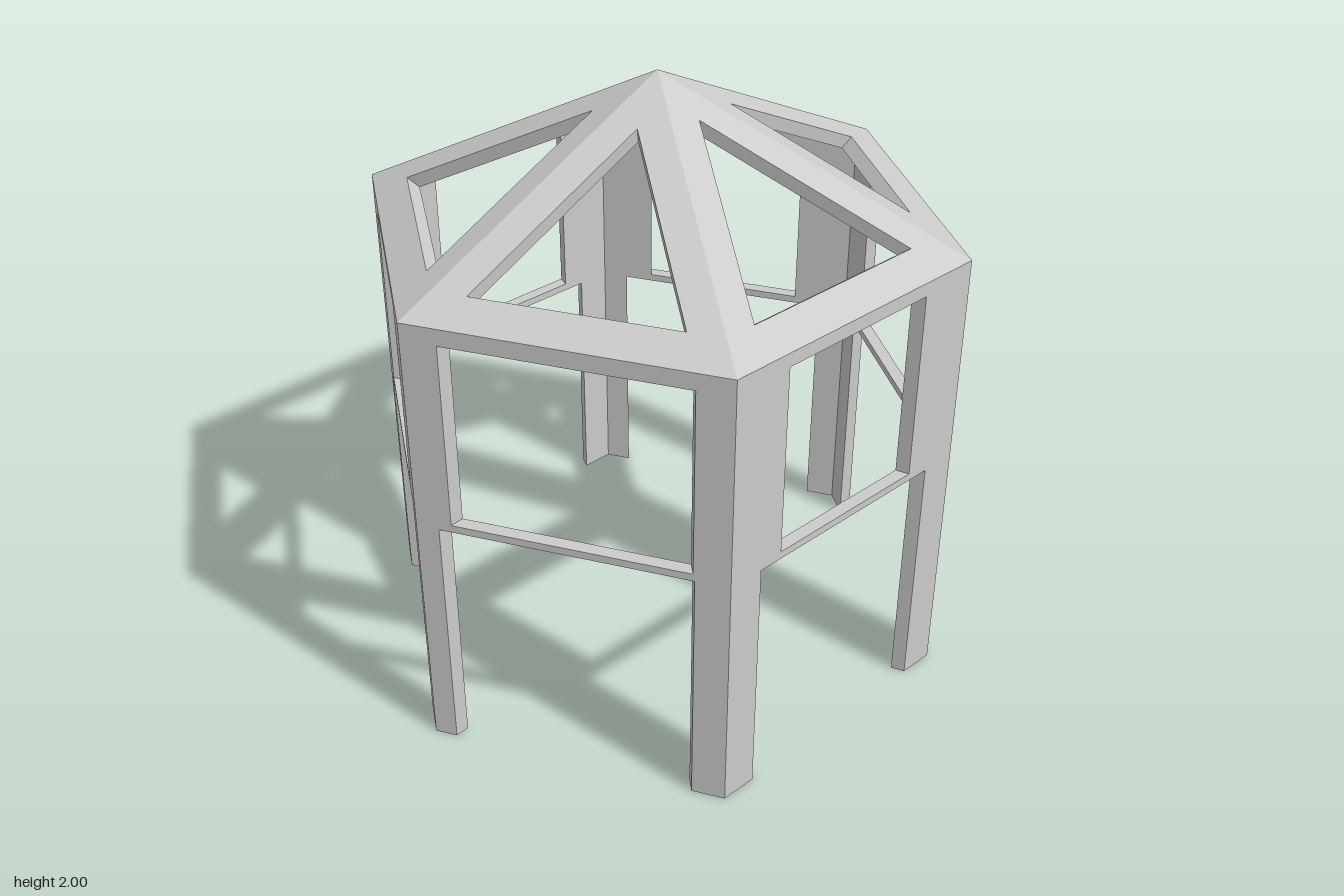
import * as THREE from 'three';

const SIDE = 0.965;                       // hexagon side = corner radius
const APO = SIDE * Math.sqrt(3) / 2;      // distance to each wall
const EAVE = 1.525, TOP = 2;
const SLOPE = (TOP - EAVE) / APO;
const K = 0.95;                           // inner skin / outer skin

// One entry per side: turn, leg opening, window span, window top, roof opening (near apex, near eave)
const sides = [
  { name: 'front', turn: 0, legs: [-0.362, 0.362], win: [-0.282, 0.282], top: 1.48, roof: [0.18, 0.735] },
  { name: 'frontLeft', turn: 60, legs: [-0.38, 0.373], win: [-0.309, 0.304], top: 1.475, roof: [0.225, 0.712] },
  { name: 'backLeft', turn: 120, legs: [-0.378, 0.391], win: [-0.287, 0.289], top: 1.475, roof: [0.215, 0.717] },
  { name: 'back', turn: 180, legs: [-0.362, 0.362], win: [-0.282, 0.282], top: 1.48, roof: [0.23, 0.72] },
  { name: 'backRight', turn: 240, legs: [-0.38, 0.373], win: [-0.309, 0.304], top: 1.48, roof: [0.195, 0.734] },
  { name: 'frontRight', turn: 300, legs: [-0.41, 0.376], win: [-0.369, 0.371], top: 1.47, roof: [0.19, 0.735] },
];

const points = (list) => list.map(([x, y]) => new THREE.Vector2(x, y));

// Extrude a pierced panel, then place its outer and inner skins by a rule
function panel(name, outline, hole, place, material) {
  const shape = new THREE.Shape(points(outline));
  shape.holes.push(new THREE.Path(points(hole)));
  const geo = new THREE.ExtrudeGeometry(shape, { depth: 1, bevelEnabled: false });
  const pos = geo.attributes.position;
  for (let i = 0; i < pos.count; i++) {
    pos.setXYZ(i, ...place(pos.getX(i), pos.getY(i), pos.getZ(i) > 0.5));
  }
  geo.computeVertexNormals();
  const mesh = new THREE.Mesh(geo, material);
  mesh.name = name;
  return mesh;
}

// Skins taper inward toward the axis; the top of the wall meets the roof's inner skin
const placeWall = (u, y, outer) => outer
  ? [u, y, APO]
  : [u * K, y > 1.3 ? 1 + (y - 1) * K : y, APO * K];

// Roof panels are drawn with v = -(distance from the axis)
const placeRoof = (u, v, outer) => outer
  ? [u, TOP + SLOPE * v, -v]
  : [u * K, 1 + (TOP + SLOPE * v - 1) * K, -v * K];

export function createModel() {
  const model = new THREE.Group();
  model.name = 'hexagonalPavilion';
  const material = new THREE.MeshStandardMaterial({ color: 0xcccccc, flatShading: true });
  const h = SIDE / 2, railBottom = 0.83, railTop = 0.855;

  for (const { name, turn, legs: [l0, l1], win: [w0, w1], top, roof: [a, b] } of sides) {
    const group = new THREE.Group();
    group.name = name + 'Side';

    // Wall: two half legs, thin rail, window frame
    group.add(panel(name + 'Wall',
      [[-h, 0], [l0, 0], [l0, railBottom], [l1, railBottom], [l1, 0], [h, 0], [h, EAVE], [-h, EAVE]],
      [[w0, railTop], [w0, top], [w1, top], [w1, railTop]],
      placeWall, material));

    // Roof: triangular panel with a triangular opening between the ribs
    const w = (b - a) / Math.sqrt(3);
    group.add(panel(name + 'Roof',
      [[-h, -APO], [h, -APO], [0, 0]],
      [[-w, -b], [0, -a], [w, -b]],
      placeRoof, material));

    group.rotation.y = THREE.MathUtils.degToRad(turn);
    model.add(group);
  }
  return model;
}
